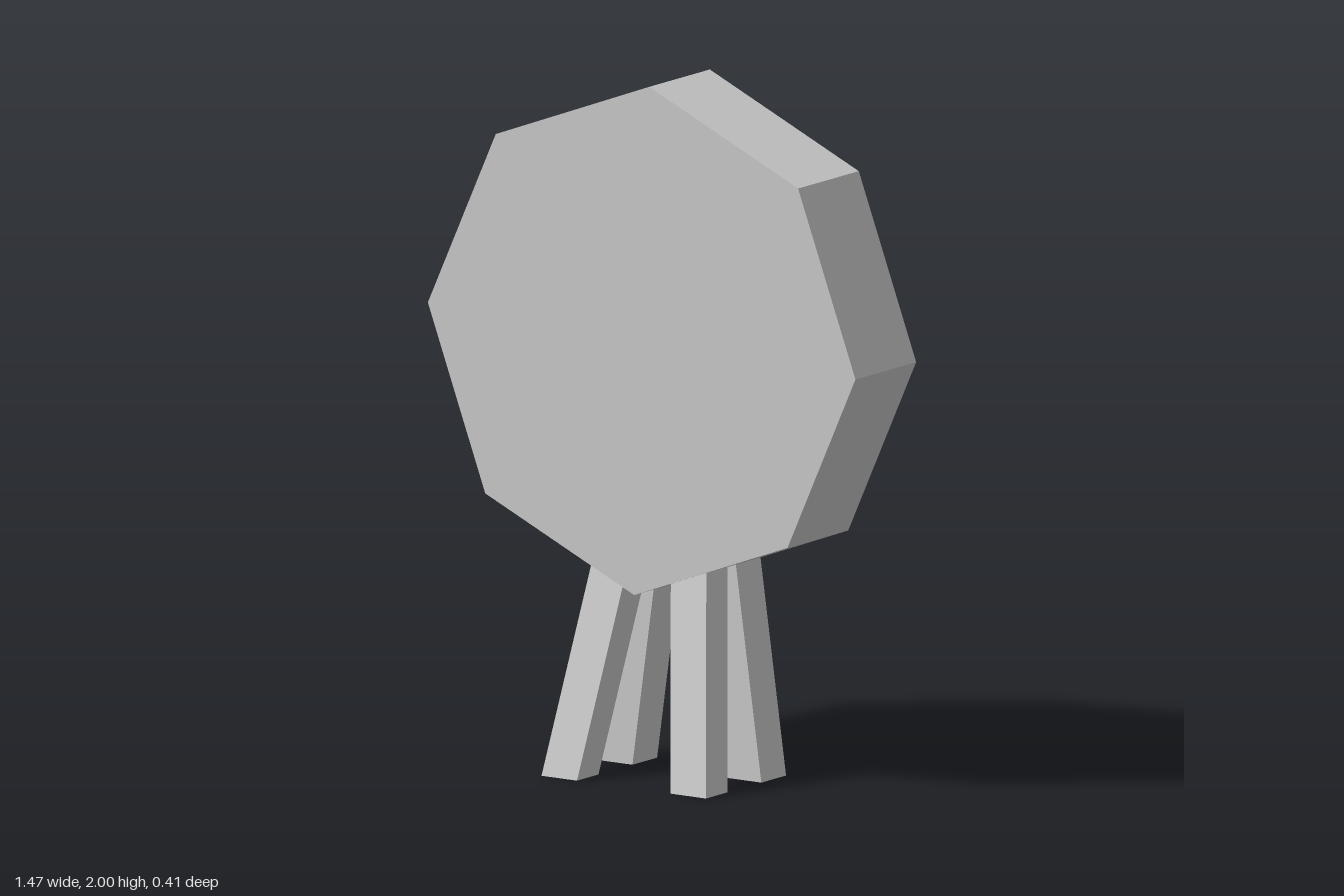
import * as THREE from 'three';

const material = new THREE.MeshStandardMaterial({ color: 0xcccccc, flatShading: true });

// Box leg with a level foot, sheared so its top leans by the given slopes
function makeLeg(name, x, z, depth, slopeX, slopeZ) {
  const height = 0.72;
  const geometry = new THREE.BoxGeometry(0.122, height, depth);
  geometry.translate(0, height / 2, 0);
  const p = geometry.attributes.position;
  for (let i = 0; i < p.count; i++) {
    const y = p.getY(i);
    p.setX(i, p.getX(i) + slopeX * y);
    p.setZ(i, p.getZ(i) + slopeZ * y);
  }
  geometry.computeVertexNormals();
  const leg = new THREE.Mesh(geometry, material);
  leg.name = name;
  leg.position.set(x, 0, z);
  return leg;
}

export function createModel() {
  const model = new THREE.Group();
  model.name = 'discOnLegs';

  // Thick octagonal disc, turned slightly clockwise
  const radius = 0.735;
  const points = [];
  for (let i = 0; i < 8; i++) {
    const a = THREE.MathUtils.degToRad(-2 + i * 45);
    points.push(new THREE.Vector2(Math.cos(a) * radius, Math.sin(a) * radius));
  }
  const discGeometry = new THREE.ExtrudeGeometry(new THREE.Shape(points), { depth: 0.3, bevelEnabled: false });
  const disc = new THREE.Mesh(discGeometry, material);
  disc.name = 'disc';
  disc.position.set(0, 1.265, -0.203);
  model.add(disc);

  // Four legs splayed sideways; the front pair also leans back into the disc
  for (const [side, x, slopeX] of [['Right', -0.208, 0.142], ['Left', 0.235, -0.142]]) {
    model.add(makeLeg('front' + side + 'Leg', x, 0.152, 0.106, slopeX, -0.207));
    model.add(makeLeg('back' + side + 'Leg', x, -0.13, 0.122, slopeX, 0));
  }
  return model;
}
